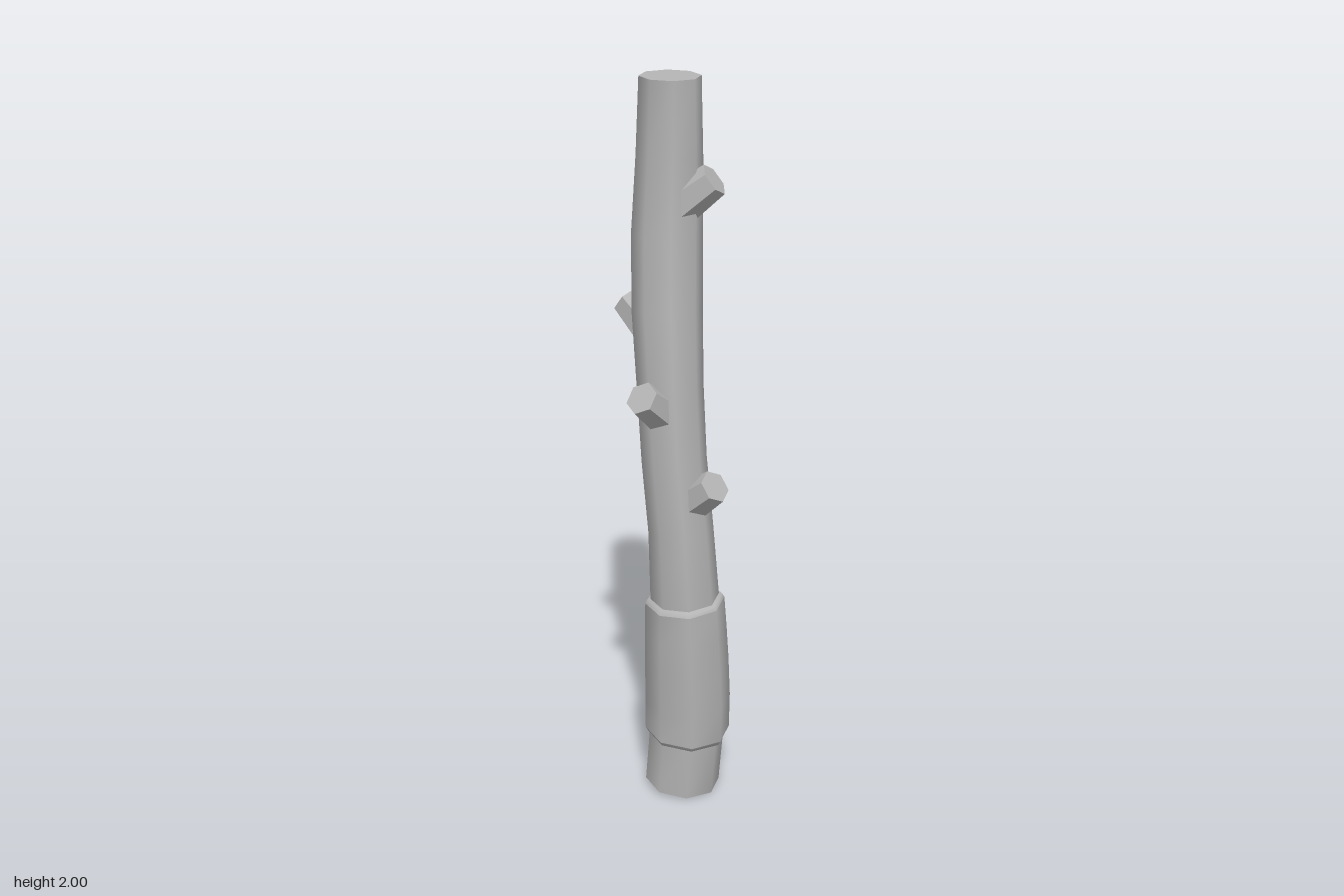
import * as THREE from 'three';
import { mergeGeometries } from 'three/addons/utils/BufferGeometryUtils.js';

const SIDES = 8;

// Centre line and radius of the stick, one entry per 0.2 of height: [x, z, radius]
const STICK = [
  [0.013, -0.03, 0.105], [0.03, -0.032, 0.105], [0.036, -0.019, 0.1], [0.04, -0.004, 0.094],
  [0.035, 0.007, 0.088], [0.014, 0.01, 0.087], [-0.002, 0.007, 0.088], [-0.024, -0.008, 0.093],
  [-0.038, -0.025, 0.093], [-0.037, -0.033, 0.086], [-0.03, -0.027, 0.079],
];
const spine = new THREE.CatmullRomCurve3(
  STICK.map(([x, z], i) => new THREE.Vector3(x, 0.01 + i * 0.1985, z)), false, 'catmullrom');

// Eight-sided ring at a height, square to the centre line
function ring(y, radius) {
  const t = THREE.MathUtils.clamp((y - 0.01) / 1.985, 0, 1);
  const centre = spine.getPoint(t), dir = spine.getTangent(t);
  const turn = new THREE.Quaternion().setFromUnitVectors(new THREE.Vector3(0, 1, 0), dir);
  const points = [];
  for (let i = 0; i < SIDES; i++) {
    const a = (i / SIDES) * Math.PI * 2;
    points.push(new THREE.Vector3(Math.sin(a) * radius, 0, Math.cos(a) * radius)
      .applyQuaternion(turn).add(centre));
  }
  return points;
}

// Smooth skin through rings given as [height, radius]
function skin(stations) {
  const points = stations.flatMap(([y, r]) => ring(y, r));
  const index = [];
  for (let s = 0; s < stations.length - 1; s++) {
    for (let i = 0; i < SIDES; i++) {
      const a = s * SIDES + i, b = s * SIDES + (i + 1) % SIDES;
      index.push(a, b, b + SIDES, a, b + SIDES, a + SIDES);
    }
  }
  const g = new THREE.BufferGeometry().setFromPoints(points);
  g.setIndex(index);
  g.computeVertexNormals();
  return g;
}

// Flat end cap
function cap(y, radius, up) {
  const g = new THREE.BufferGeometry().setFromPoints(ring(y, radius));
  const index = [];
  for (let i = 1; i < SIDES - 1; i++) index.push(0, up ? i : i + 1, up ? i + 1 : i);
  g.setIndex(index);
  g.computeVertexNormals();
  return g;
}

export function createModel() {
  const model = new THREE.Group();
  model.name = 'stick';
  const grey = new THREE.MeshStandardMaterial({ color: 0xb4b4b4 });
  grey.name = 'grey';
  const greyFlat = grey.clone();
  greyFlat.flatShading = true;

  const add = (name, geometry, material = grey) => {
    const mesh = new THREE.Mesh(geometry, material);
    mesh.name = name;
    model.add(mesh);
    return mesh;
  };

  // Bent stick with closed ends
  const stations = STICK.map(([, , r], i) => [0.01 + i * 0.1985, r]);
  add('shaft', mergeGeometries([
    skin(stations), cap(0.01, STICK[0][2], false), cap(1.995, STICK[10][2], true),
  ]));

  // Grip sleeve with bevelled rims
  add('grip', mergeGeometries([
    skin([[0.168, 0.1], [0.17, 0.112], [0.183, 0.119]]),
    skin([[0.183, 0.119], [0.28, 0.119], [0.4, 0.117], [0.5, 0.113], [0.59, 0.109]]),
    skin([[0.59, 0.109], [0.601, 0.103], [0.603, 0.09]]),
  ]));

  // Cut branch stubs: centre of the cut face and heading in plan [x, z]
  const stubs = [
    ['frontStub', [0.005, 1.2, 0.132], [0, 1]],
    ['rightStub', [-0.156, 1.405, -0.005], [-1, 0]],
    ['leftStub', [0.15, 0.955, 0.008], [1, 0.05]],
    ['upperLeftStub', [0.086, 1.745, -0.06], [0.92, -0.38]],
    ['lowerBackStub', [-0.055, 0.718, -0.057], [-0.78, -0.62]],
  ];
  const rise = 0.66, length = 0.14;
  for (const [name, face, [hx, hz]] of stubs) {
    const flat = new THREE.Vector3(hx, 0, hz).normalize();
    const axis = flat.clone().multiplyScalar(Math.cos(rise)).setY(Math.sin(rise));
    const side = new THREE.Vector3(flat.z, 0, -flat.x);
    const slope = side.clone().cross(axis);
    const stub = add(name, new THREE.CylinderGeometry(0.045, 0.057, length, 6), greyFlat);
    stub.quaternion.setFromRotationMatrix(new THREE.Matrix4().makeBasis(side, axis, slope));
    stub.position.set(...face).addScaledVector(axis, -length / 2);
  }
  return model;
}
